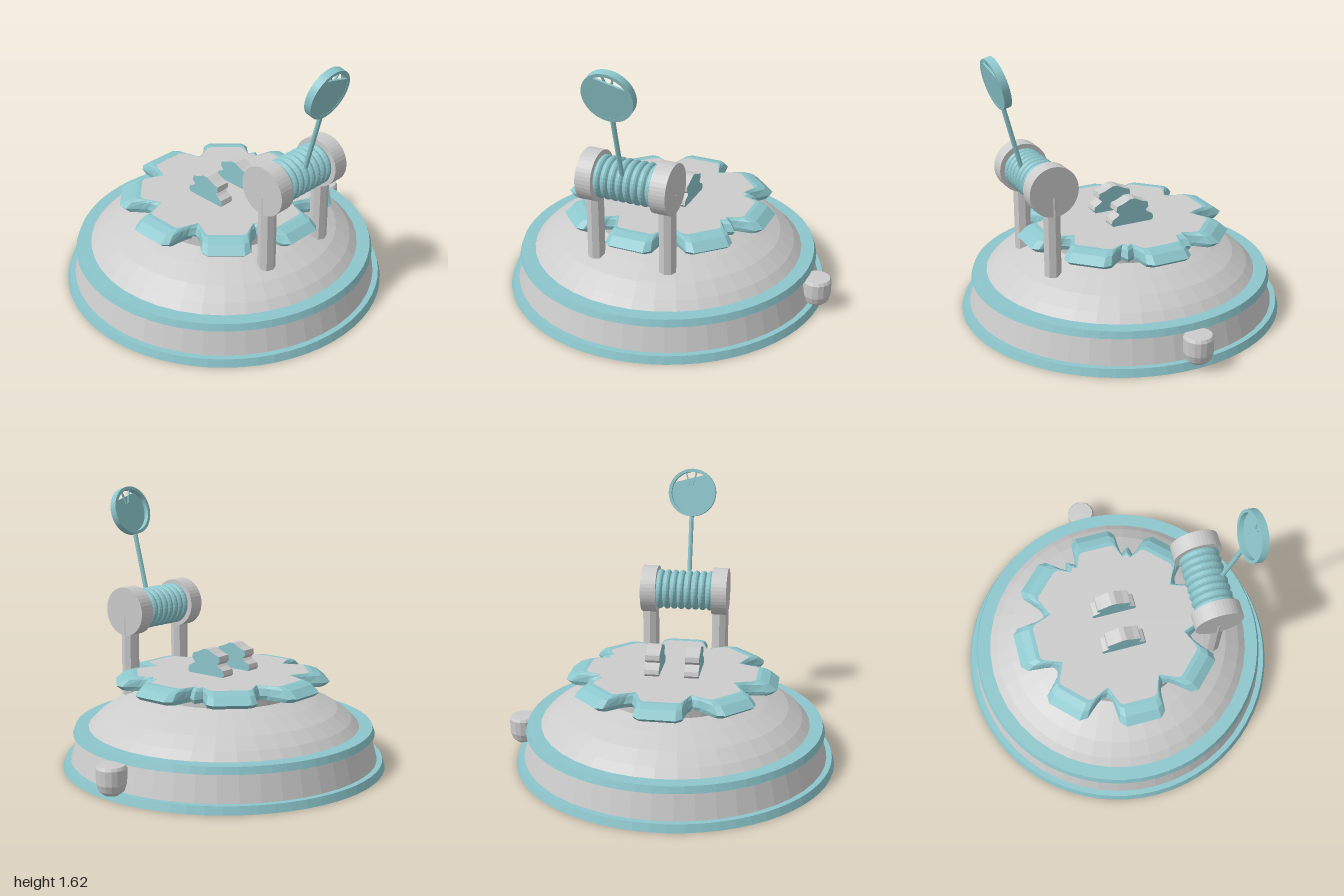
import * as THREE from 'three';

const grey = new THREE.MeshStandardMaterial({ color: 0xcccccc, side: THREE.DoubleSide, flatShading: true });
const teal = new THREE.MeshStandardMaterial({ color: 0x8cc6cc, side: THREE.DoubleSide, flatShading: true });

function add(parent, name, geometry, material, x = 0, y = 0, z = 0) {
  const mesh = new THREE.Mesh(geometry, material);
  mesh.name = name;
  mesh.position.set(x, y, z);
  parent.add(mesh);
  return mesh;
}

function lathe(points, sides) {
  return new THREE.LatheGeometry(points.map(([r, y]) => new THREE.Vector2(r, y)), sides);
}

// Outline of the eight-lobed cover; t blends from the top face (0) to the widest edge (1)
function coverLoop(t, y) {
  const outer = [[0.46, 0.15], [0.5, 0.145], [0.595, 0.14], [0.63, 0.105]];
  const inner = [[0.41, 0.145], [0.45, 0.13], [0.49, 0.115], [0.505, 0.095]];
  const half = outer.map((o, i) => o.map((v, j) => THREE.MathUtils.lerp(inner[i][j], v, t)));
  const loop = [];
  for (let k = 0; k < 8; k++) {
    const angle = k * Math.PI / 4;
    const put = (along, across) => loop.push(new THREE.Vector3(
      along * Math.sin(angle) + across * Math.cos(angle), y,
      along * Math.cos(angle) - across * Math.sin(angle)));
    // The two notches beside the rear lobe are shallower
    const shallow = k === 4 || k === 5;
    const r = THREE.MathUtils.lerp(shallow ? 0.46 : 0.41, shallow ? 0.53 : 0.455, t);
    put(r * Math.cos(Math.PI / 8), -r * Math.sin(Math.PI / 8));
    half.forEach(([a, c]) => put(a, -c));
    [...half].reverse().forEach(([a, c]) => put(a, c));
  }
  return loop;
}

function triangles(list) {
  return new THREE.BufferGeometry().setFromPoints(list);
}

function finish(list) {
  const geometry = triangles(list);
  geometry.computeVertexNormals();
  return geometry;
}

function cap(loop, up) {
  const centre = new THREE.Vector3(0, loop[0].y, 0);
  return loop.flatMap((p, i) => {
    const q = loop[(i + 1) % loop.length];
    return up ? [centre, p, q] : [centre, q, p];
  });
}

function addCover(root) {
  const layers = [[0.75, 0.48], [1, 0.505], [0.6, 0.545], [0.2, 0.56], [0, 0.56]].map(([t, y]) => coverLoop(t, y));
  const list = cap(layers[0], false);
  for (let k = 0; k + 1 < layers.length; k++) {
    const low = layers[k], high = layers[k + 1];
    low.forEach((a, i) => {
      const j = (i + 1) % low.length;
      list.push(a, low[j], high[j], a, high[j], high[i]);
    });
  }
  add(root, 'coverRim', finish(list), teal, 0, 0, 0.02);
  add(root, 'coverTop', finish(cap(layers[4], true)), grey, 0, 0, 0.02);
}

// Stepped crest plate standing on the cover
function addCrest(root, z) {
  const side = [[0.12, 0.55], [0.138, 0.575], [0.13, 0.6], [0.098, 0.617], [0.085, 0.63],
    [0.105, 0.65], [0.1, 0.68], [0.065, 0.69], [0.015, 0.714]];
  const outline = [...side, ...[...side].reverse().map(([x, y]) => [-x, y])];
  const shape = new THREE.Shape(outline.map(([x, y]) => new THREE.Vector2(x, y)));
  const geometry = new THREE.ExtrudeGeometry(shape, { depth: 0.085, bevelEnabled: false });
  add(root, 'crest', geometry, [teal, grey], 0, 0, z - 0.0425);
}

function addBase(root) {
  const base = new THREE.Group();
  base.name = 'base';
  base.position.z = 0.035;
  root.add(base);
  add(base, 'bottomRing', lathe([[0, 0], [0.965, 0], [0.95, 0.045], [0.91, 0.045]], 64), teal);
  add(base, 'lowerBody', lathe([[0.922, 0.03], [0.87, 0.21]], 48), grey);
  add(base, 'middleRing', lathe([[0.85, 0.2], [0.902, 0.2], [0.888, 0.24], [0.8, 0.24]], 64), teal);
  add(base, 'dome', lathe([[0.815, 0.235], [0.765, 0.285], [0.68, 0.345], [0.56, 0.4], [0.455, 0.44], [0.45, 0.44]], 40), grey);
  add(base, 'neck', lathe([[0.45, 0.435], [0.45, 0.5]], 40), grey);
}

function addSpool(root) {
  const x = 0.545, y = 0.89;
  for (const z of [0.243, -0.201]) {
    add(root, 'post', new THREE.CylinderGeometry(0.052, 0.052, 0.48, 8), grey, x, 0.615, z);
    add(root, 'spoolEnd', new THREE.CylinderGeometry(0.147, 0.147, 0.096, 40), grey, x, y, z).rotation.x = Math.PI / 2;
  }
  // Rounded ribs along the spool
  const ribs = 8, pitch = 0.36 / ribs, profile = [];
  for (let i = 0; i < ribs; i++) {
    for (const [r, s] of [[0.106, 0], [0.118, 0.18], [0.124, 0.4], [0.124, 0.6], [0.118, 0.82]]) {
      profile.push([r, -0.18 + (i + s) * pitch]);
    }
  }
  profile.push([0.106, 0.18]);
  add(root, 'spoolCoil', lathe(profile, 32), teal, x, y, 0.021).rotation.x = Math.PI / 2;
}

function addPaddle(root) {
  const paddle = new THREE.Group();
  paddle.name = 'paddle';
  paddle.position.set(0.757, 1.468, 0.033);
  // The disc faces +x and leans outward
  paddle.rotation.set(0, Math.PI / 2, -0.253, 'ZYX');
  root.add(paddle);
  add(paddle, 'paddleRod', new THREE.CylinderGeometry(0.014, 0.014, 0.42, 8), teal, 0, -0.345, 0);

  const ring = new THREE.Shape().absarc(0, 0, 0.149, 0, Math.PI * 2);
  ring.holes.push(new THREE.Path().absarc(0, 0, 0.13, 0, Math.PI * 2, true));
  add(paddle, 'paddleRim', new THREE.ExtrudeGeometry(ring, { depth: 0.045, bevelEnabled: false, curveSegments: 32 }), teal, 0, 0, -0.0225);

  // Face plate with an open segment near the top
  const plate = new THREE.Shape().absarc(0, 0, 0.134, 2.13, 6.76);
  add(paddle, 'paddleFace', new THREE.ExtrudeGeometry(plate, { depth: 0.012, bevelEnabled: false, curveSegments: 32 }), teal, 0, 0, 0.009);
  for (const sx of [-1, 1]) {
    const spoke = add(paddle, 'paddleSpoke', new THREE.BoxGeometry(0.008, 0.09, 0.012), teal, 0.012 + sx * 0.022, 0.09, 0.004);
    spoke.rotation.z = -sx * 0.3;
  }
}

export function createModel() {
  const root = new THREE.Group();
  root.name = 'model';
  addBase(root);
  addCover(root);
  addCrest(root, 0.147);
  addCrest(root, -0.088);
  addSpool(root);
  addPaddle(root);
  // Rounded knob on the rear of the base
  add(root, 'rearKnob', lathe([[0, 0.032], [0.045, 0.036], [0.072, 0.06], [0.085, 0.1], [0.086, 0.185], [0.076, 0.202], [0, 0.204]], 16), grey, 0, 0, -0.914);
  return root;
}
